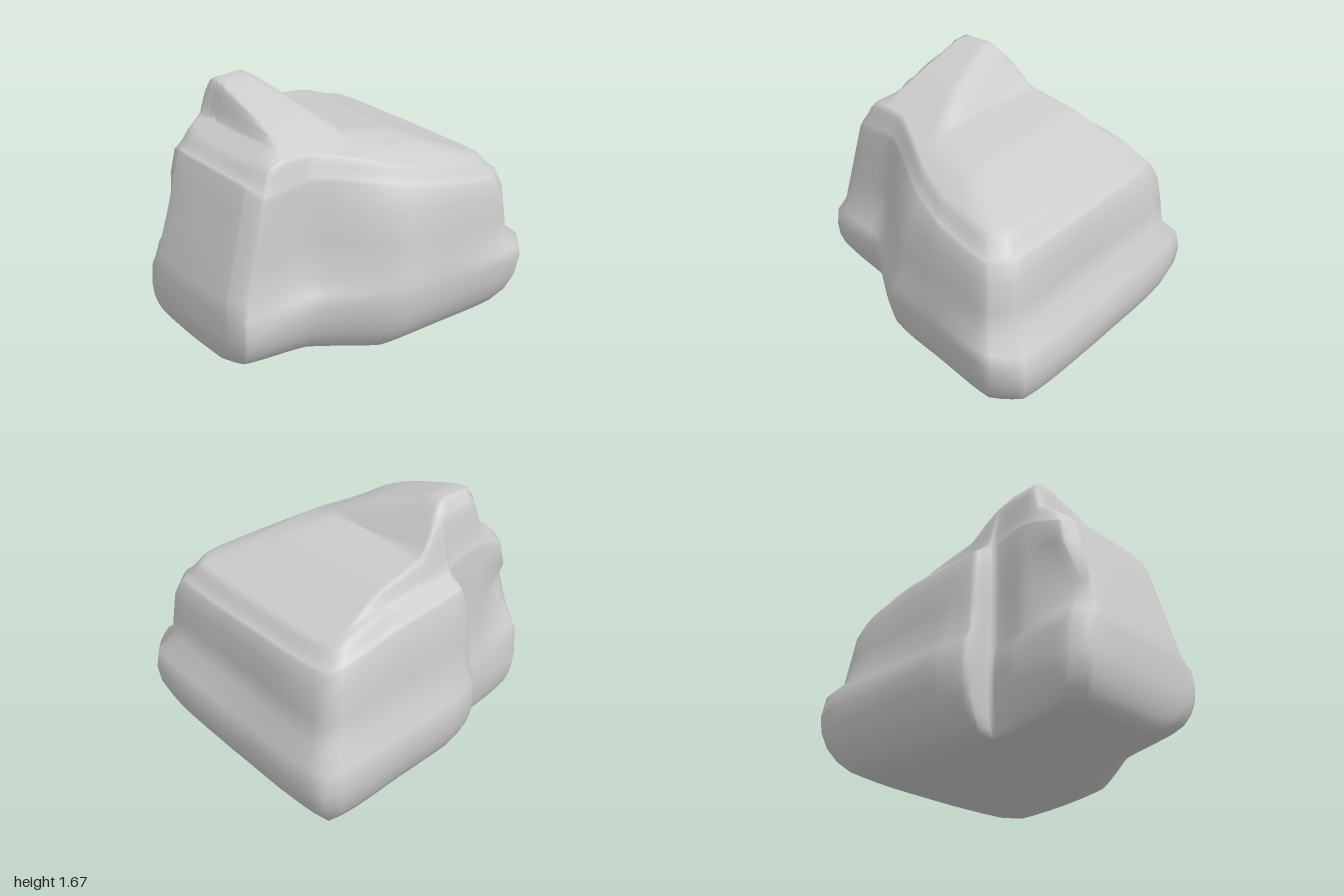
import * as THREE from 'three';

const SEG = 6;       // subdivisions between outline points
const INSETS = 40;   // rings closing the top

// Outlines run from the back -x corner, along the -x side, the front, the +x side and the back.
const underside = [
  [-.6, .03, -.65], [-.6, .02, -.2], [-.61, .03, .1], [-.62, .05, .25], [-.6, .05, .3], [-.59, .06, .5],
  [-.57, .1, .76], [-.48, .09, .85], [-.12, .08, .86], [.08, .11, .82], [.17, .07, .45], [.38, .02, .08],
  [.4, 0, -.2], [.41, 0, -.55], [.3, 0, -.6], [0, 0, -.62]];
const bulge = [
  [-.89, .44, -.96], [-.9, .45, -.3], [-.89, .45, .1], [-.83, .45, .3], [-.65, .42, .31], [-.68, .38, .5],
  [-.67, .36, .87], [-.58, .37, .99], [.2, .38, .99], [.36, .44, .95], [.44, .48, .5], [.73, .48, .08],
  [.79, .48, -.3], [.89, .52, -.8], [.74, .44, -.98], [0, .4, -.995]];
const wall = [
  [-.8, .66, -.87], [-.82, .65, -.3], [-.82, .65, .1], [-.78, .65, .29], [-.62, .63, .3], [-.63, .62, .55],
  [-.63, .63, .88], [-.5, .63, .97], [.18, .63, .97], [.31, .64, .9], [.34, .64, .5], [.7, .64, .06],
  [.77, .65, -.3], [.81, .64, -.74], [.71, .65, -.86], [0, .65, -.87]];
const shoulder = [
  [-.73, 1.08, -.78], [-.75, 1.16, -.3], [-.74, 1.18, .1], [-.73, 1.19, .24], [-.61, 1.26, .27], [-.6, 1.31, .5],
  [-.57, 1.25, .75], [-.46, 1.28, .79], [.15, 1.27, .78], [.28, 1.22, .74], [.32, 1.25, .42], [.58, 1.17, -.02],
  [.69, 1.11, -.3], [.74, 1.05, -.68], [.63, 1.06, -.8], [0, 1.07, -.82]];

const toVectors = (pts) => pts.map((p) => new THREE.Vector3(...p));
const blend = (A, B, t, ty = t) => A.map((a, i) => new THREE.Vector3(
  a.x + (B[i].x - a.x) * t, a.y + (B[i].y - a.y) * ty, a.z + (B[i].z - a.z) * t));

// Outline halfway between straight edges and a smooth curve, so corners stay firm
function smoothRing(pts) {
  const n = pts.length, curve = new THREE.CatmullRomCurve3(pts, true, 'centripetal');
  return Array.from({ length: n * SEG }, (_, k) => {
    const i = Math.floor(k / SEG), f = (k % SEG) / SEG;
    return pts[i].clone().lerp(pts[(i + 1) % n], f).lerp(curve.getPoint(k / (n * SEG)), .4);
  });
}

// Piecewise-linear profile
function profile(keys, v) {
  if (v <= keys[0][0]) return keys[0][1];
  for (let i = 1; i < keys.length; i++) {
    const [a, ya] = keys[i - 1], [b, yb] = keys[i];
    if (v <= b) return ya + (yb - ya) * (v - a) / (b - a);
  }
  return keys[keys.length - 1][1];
}

// Sloping top with a crest near the front: softened minimum of a side profile and a front profile
function topHeight(x, z) {
  const side = profile([[-.82, 1.07], [-.79, 1.12], [-.72, 1.17], [-.6, 1.21], [-.3, 1.34], [.05, 1.41],
    [.31, 1.71], [.52, 1.7], [.56, 1.46], [.78, 1.31]], z);
  const front = profile([[-.76, 1.18], [-.73, 1.21], [-.62, 1.28], [-.6, 1.36], [-.55, 1.56], [-.48, 1.675],
    [-.4, 1.67], [0, 1.53], [.15, 1.46], [.3, 1.38], [.4, 1.34], [.58, 1.23], [.7, 1.15], [.75, 1.07]], x);
  const h = Math.max(0, 1 - Math.abs(side - front) / .08);
  return Math.min(side, front) - h * h * .02;
}

function createRock() {
  const [bottom, wide, low, high] = [underside, bulge, wall, shoulder].map(toVectors);

  // Back and side walls stay upright, then round off
  const middle = blend(low, high, .25, .38);
  const upper = blend(low, high, .5, .75);
  // The front block leans back in a straight line
  for (let i = 5; i <= 10; i++) {
    middle[i].lerpVectors(low[i], high[i], .38);
    upper[i].lerpVectors(low[i], high[i], .75);
  }
  // Chipped hollow in its corner
  middle[6].set(-.48, .86, .84);

  // Rounded underside, bulging foot with a lip, then the upright walls
  const control = [];
  for (let k = 0; k <= 6; k++) {
    const a = k / 6 * Math.PI / 2;
    control.push(blend(bottom, wide, Math.sin(a), 1 - Math.cos(a)));
  }
  control.push(blend(wide, low, .2, .6), low, middle, upper, high);
  const rings = control.map(smoothRing);
  const rim = rings[rings.length - 1];

  // Bottom collapses to one point
  rings.unshift(rim.map(() => new THREE.Vector3(-.1, .015, 0)));

  // Top surface: rings shrinking inward and following the height rule
  for (let k = 1; k <= INSETS; k++) {
    const t = k / INSETS, mix = Math.min(1, t * 9);
    rings.push(rim.map((p) => {
      const x = p.x + (-.1 - p.x) * t, z = p.z + (.05 - p.z) * t;
      return new THREE.Vector3(x, p.y + (topHeight(x, z) - p.y) * mix, z);
    }));
  }

  const n = rim.length, positions = [], index = [];
  rings.forEach((ring) => ring.forEach((p) => positions.push(p.x, p.y, p.z)));
  for (let r = 0; r < rings.length - 1; r++) {
    for (let i = 0; i < n; i++) {
      const a = r * n + i, b = r * n + (i + 1) % n, c = b + n, d = a + n;
      if (r > 0) index.push(a, b, c);
      if (r < rings.length - 2) index.push(a, c, d);
    }
  }
  const geometry = new THREE.BufferGeometry();
  geometry.setAttribute('position', new THREE.Float32BufferAttribute(positions, 3));
  geometry.setIndex(index);
  geometry.computeVertexNormals();
  return geometry;
}

export function createModel() {
  const group = new THREE.Group();
  group.name = 'boulder';
  const rock = new THREE.Mesh(createRock(), new THREE.MeshStandardMaterial({ color: 0xcccccc }));
  rock.name = 'rock';
  group.add(rock);
  return group;
}
